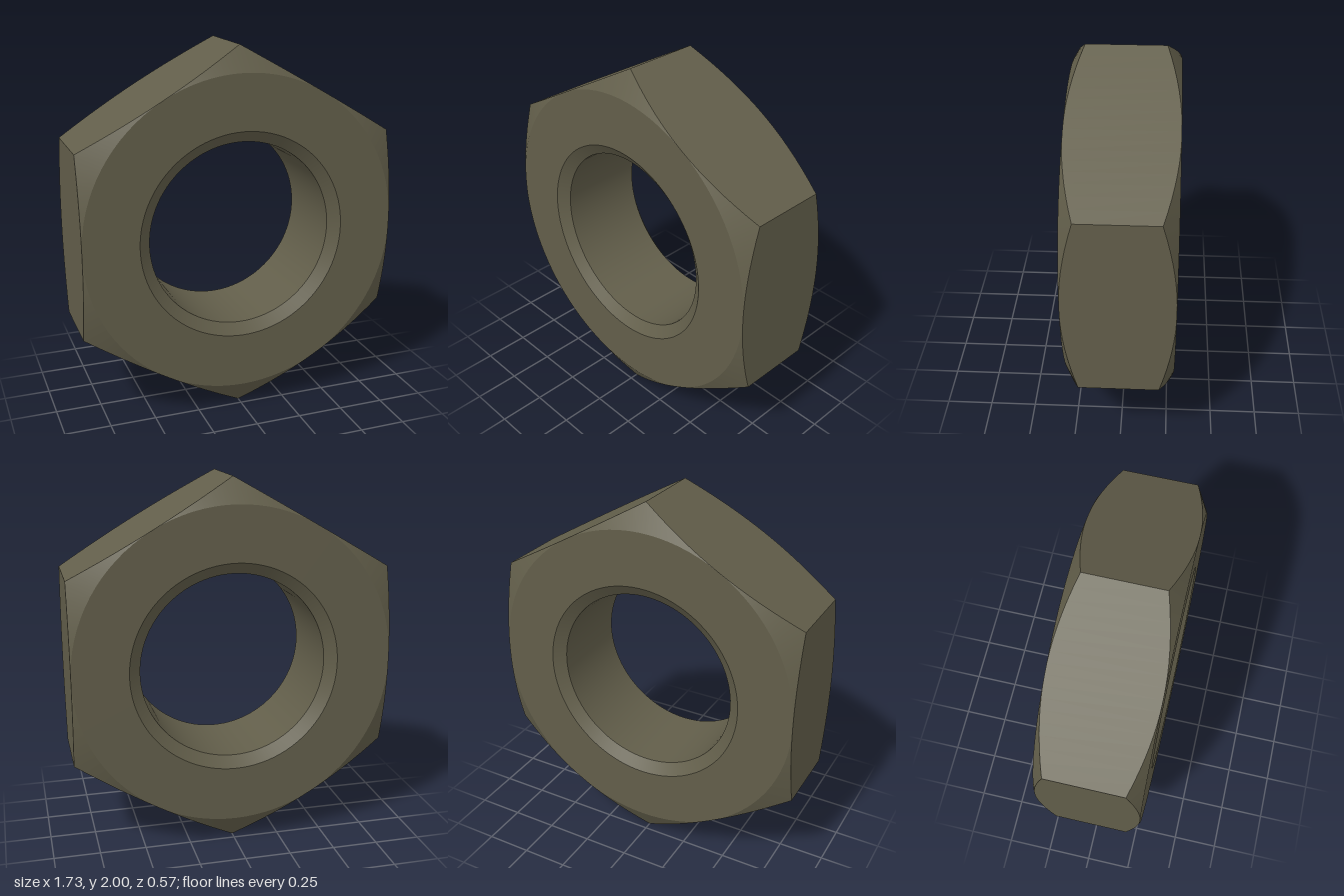
import * as THREE from 'three';
import { toCreasedNormals } from 'three/addons/utils/BufferGeometryUtils.js';

const APOTHEM = Math.sqrt(3) / 2; // hexagon with corner radius 1
const HALF = 0.283;               // half thickness
const BORE = 0.505, MOUTH = 0.567, SINK = 0.045;
const SEGMENTS = 96;              // multiple of 12, so corners and flat centres are hit

// Distance from the axis to the hexagon outline, with a corner pointing up
function hexRadius(i) {
  const step = SEGMENTS / 6;
  const local = ((i % step) / step) * (Math.PI / 3) - Math.PI / 6;
  return APOTHEM / Math.cos(local);
}

// Sweeps a profile [radius, z] that may vary with the angle around the z axis
function sweep(profile) {
  const pos = [];
  const point = (i, k) => {
    const t = Math.PI / 2 + (i / SEGMENTS) * Math.PI * 2;
    const [r, z] = profile(i % SEGMENTS)[k];
    return new THREE.Vector3(r * Math.cos(t), 1 + r * Math.sin(t), z);
  };
  const tri = (a, b, c) => {
    const area = b.clone().sub(a).cross(c.clone().sub(a)).length();
    if (area > 1e-8) pos.push(...a, ...b, ...c);
  };
  const rings = profile(0).length;
  for (let k = 0; k < rings - 1; k++) {
    for (let i = 0; i < SEGMENTS; i++) {
      const a = point(i, k), b = point(i, k + 1);
      const c = point(i + 1, k + 1), d = point(i + 1, k);
      tri(a, b, c);
      tri(a, c, d);
    }
  }
  const geometry = new THREE.BufferGeometry();
  geometry.setAttribute('position', new THREE.Float32BufferAttribute(pos, 3));
  return toCreasedNormals(geometry, 0.3);
}

export function createModel() {
  const group = new THREE.Group();
  group.name = 'hexNut';
  const material = new THREE.MeshStandardMaterial({ color: 0x625e4a });
  const add = (name, profile) => {
    const mesh = new THREE.Mesh(sweep(profile), material);
    mesh.name = name;
    group.add(mesh);
  };

  // Flat faces, conical corner chamfers (30 degrees) and the six side flats
  add('hexBody', (i) => {
    const r = hexRadius(i);
    const z = HALF - (r - APOTHEM) * Math.tan(Math.PI / 6);
    return [[MOUTH, HALF], [APOTHEM, HALF], [r, z], [r, -z], [APOTHEM, -HALF], [MOUTH, -HALF]];
  });

  // Round through hole with a countersink at each end
  add('bore', () => [[MOUTH, -HALF], [BORE, SINK - HALF], [BORE, HALF - SINK], [MOUTH, HALF]]);

  return group;
}
